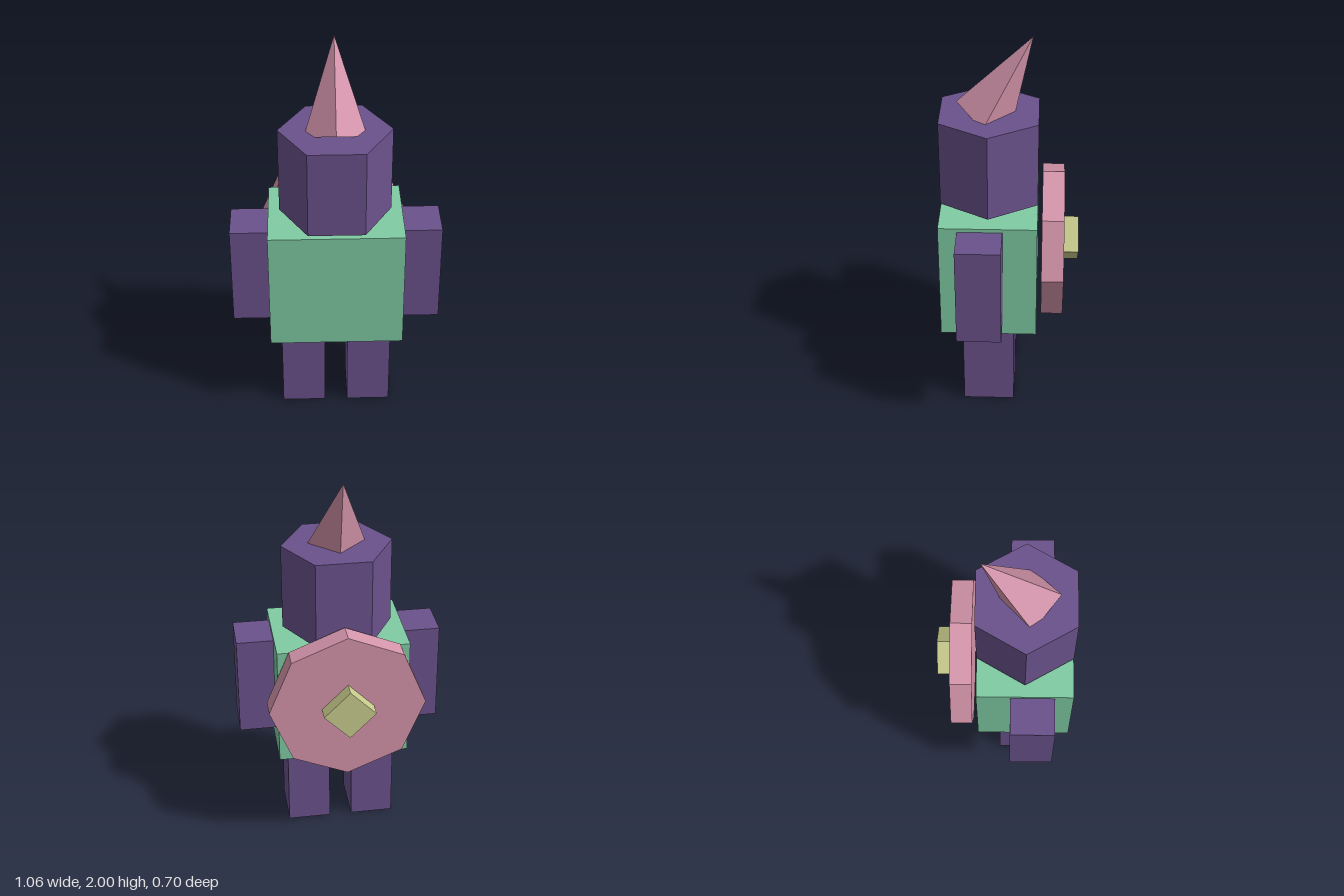
import * as THREE from 'three';

export function createModel() {
  const model = new THREE.Group();
  model.name = 'toyWarrior';

  const material = (name, color) => {
    const m = new THREE.MeshStandardMaterial({ color, flatShading: true });
    m.name = name;
    return m;
  };
  const purple = material('purple', 0x6b528c);
  const green = material('green', 0x7fcba4);
  const pink = material('pink', 0xd495ab);
  const olive = material('olive', 0xc8cc8c);

  const add = (name, geometry, mat, x, y, z) => {
    const mesh = new THREE.Mesh(geometry, mat);
    mesh.name = name;
    mesh.position.set(x, y, z);
    model.add(mesh);
    return mesh;
  };

  // Torso block
  add('torso', new THREE.BoxGeometry(0.68, 0.643, 0.49), green, 0, 0.803, 0.103);

  // Mirrored arms and legs
  for (const [side, s] of [['left', 1], ['right', -1]]) {
    add(side + 'Arm', new THREE.BoxGeometry(0.19, 0.53, 0.225), purple, s * 0.435, 0.84, 0.142);
    add(side + 'Leg', new THREE.BoxGeometry(0.225, 0.481, 0.265), purple, s * 0.172, 0.2405, 0.107);
  }

  // Hexagonal head, flat side forward, floating just above the torso
  const head = new THREE.CylinderGeometry(0.283, 0.283, 0.455, 6).rotateY(Math.PI / 6);
  add('head', head, purple, 0, 1.3725, 0.103);

  // Four-sided horn leaning backwards
  const horn = add('horn', new THREE.ConeGeometry(0.155, 0.49, 4), pink, 0, 1.787, 0.011);
  horn.rotation.x = -0.514;

  // Octagonal shield on the back with a square boss
  const shield = new THREE.CylinderGeometry(0.4, 0.4, 0.111, 8).rotateX(Math.PI / 2);
  add('shield', shield, pink, 0, 0.859, -0.22);
  const boss = new THREE.CylinderGeometry(0.133, 0.133, 0.08, 4).rotateX(Math.PI / 2);
  add('shieldBoss', boss, olive, 0, 0.859, -0.313);

  return model;
}
